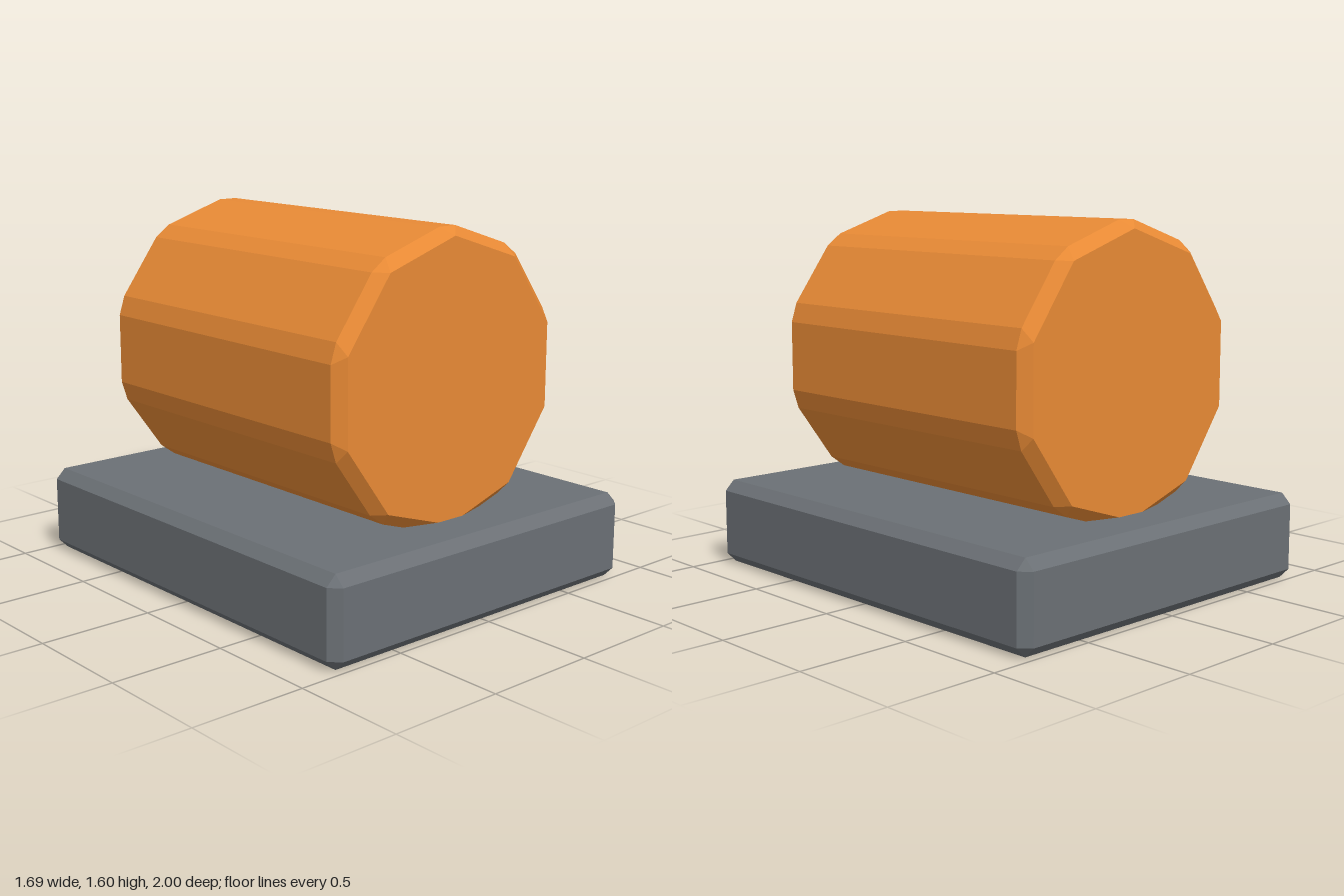
import * as THREE from 'three';
import { ConvexGeometry } from 'three/addons/geometries/ConvexGeometry.js';

const BEVEL = 0.047;

// Box with flat chamfers: each corner becomes three points, one per face
function bevelledBox(hx, hy, hz, b) {
  const points = [];
  for (const x of [-1, 1]) for (const y of [-1, 1]) for (const z of [-1, 1]) {
    points.push(
      new THREE.Vector3(x * hx, y * (hy - b), z * (hz - b)),
      new THREE.Vector3(x * (hx - b), y * hy, z * (hz - b)),
      new THREE.Vector3(x * (hx - b), y * (hy - b), z * hz)
    );
  }
  return new ConvexGeometry(points);
}

// Prism along z with a vertex on top and every edge chamfered
function bevelledPrism(sides, apothem, hz, b) {
  const points = [];
  const step = (Math.PI * 2) / sides;
  const halfSide = apothem * Math.tan(step / 2) - b;
  const capRadius = (apothem - b) / Math.cos(step / 2);
  for (const end of [-1, 1]) {
    for (let i = 0; i < sides; i++) {
      // Cap corner
      const a = i * step;
      points.push(new THREE.Vector3(Math.sin(a) * capRadius, Math.cos(a) * capRadius, end * hz));
      // Both ends of the neighbouring side face
      const m = a + step / 2;
      for (const s of [-halfSide, halfSide]) {
        points.push(new THREE.Vector3(
          Math.sin(m) * apothem + Math.cos(m) * s,
          Math.cos(m) * apothem - Math.sin(m) * s,
          end * (hz - b)
        ));
      }
    }
  }
  return new ConvexGeometry(points);
}

function addPart(group, name, geometry, color, y) {
  const material = new THREE.MeshStandardMaterial({ color, flatShading: true });
  const mesh = new THREE.Mesh(geometry, material);
  mesh.name = name;
  mesh.position.y = y;
  group.add(mesh);
}

export function createModel() {
  const group = new THREE.Group();
  group.name = 'barrelOnBase';
  // Rectangular slab
  addPart(group, 'base', bevelledBox(0.843, 0.192, 1, 0.045), 0x6b7075, 0.192);
  // Ten-sided barrel lying along z, sunk slightly into the slab
  addPart(group, 'barrel', bevelledPrism(10, 0.62, 0.77, BEVEL), 0xe88a35, 0.963);
  return group;
}
